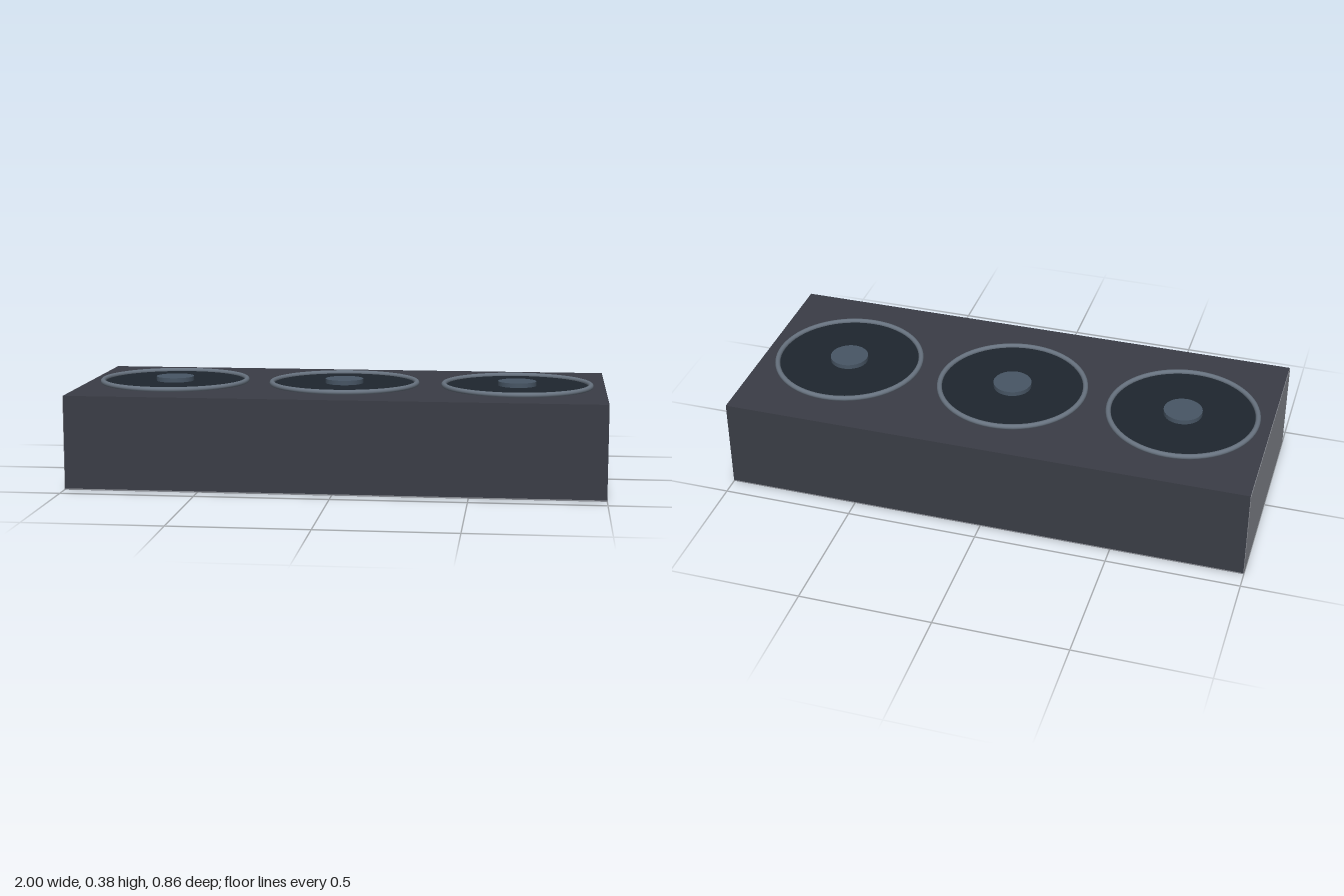
import * as THREE from 'three';

const paint = (color) => new THREE.MeshStandardMaterial({ color });

export function createModel() {
  const model = new THREE.Group();
  model.name = 'tripleFanBox';
  const bodyMat = paint(0x3a3d46);
  const plateMat = paint(0x8a8d94);
  const rimMat = paint(0x67727f);
  const discMat = paint(0x1e262e);
  const hubMat = paint(0x475564);

  const W = 2, D = 0.862, TOP = 0.353, PLATE = 0.005, SIDE = 0.002;

  const add = (parent, name, geometry, material, x, y, z) => {
    const mesh = new THREE.Mesh(geometry, material);
    mesh.name = name;
    mesh.position.set(x, y, z);
    parent.add(mesh);
    return mesh;
  };

  // Housing with a pale base plate and a pale end plate
  add(model, 'housing', new THREE.BoxGeometry(W - SIDE, TOP - PLATE, D), bodyMat,
    SIDE / 2, (TOP + PLATE) / 2, 0);
  add(model, 'basePlate', new THREE.BoxGeometry(W, PLATE, D), plateMat, 0, PLATE / 2, 0);
  add(model, 'endPlate', new THREE.BoxGeometry(SIDE, TOP - PLATE, D), plateMat,
    -W / 2 + SIDE / 2, (TOP + PLATE) / 2, 0);

  // Three fans: rounded rim, dark disc and raised hub
  const rimGeo = new THREE.TorusGeometry(0.28, 0.01, 12, 64).rotateX(Math.PI / 2);
  const discGeo = new THREE.CylinderGeometry(0.278, 0.278, 0.006, 64);
  const hubGeo = new THREE.CylinderGeometry(0.073, 0.073, 0.022, 32);
  for (const x of [-0.665, 0, 0.665]) {
    const fan = new THREE.Group();
    fan.name = 'fan';
    fan.position.set(x, TOP, 0);
    add(fan, 'fanRim', rimGeo, rimMat, 0, 0.007, 0);
    add(fan, 'fanDisc', discGeo, discMat, 0, 0.002, 0);
    add(fan, 'fanHub', hubGeo, hubMat, 0, 0.011, 0);
    model.add(fan);
  }
  return model;
}
